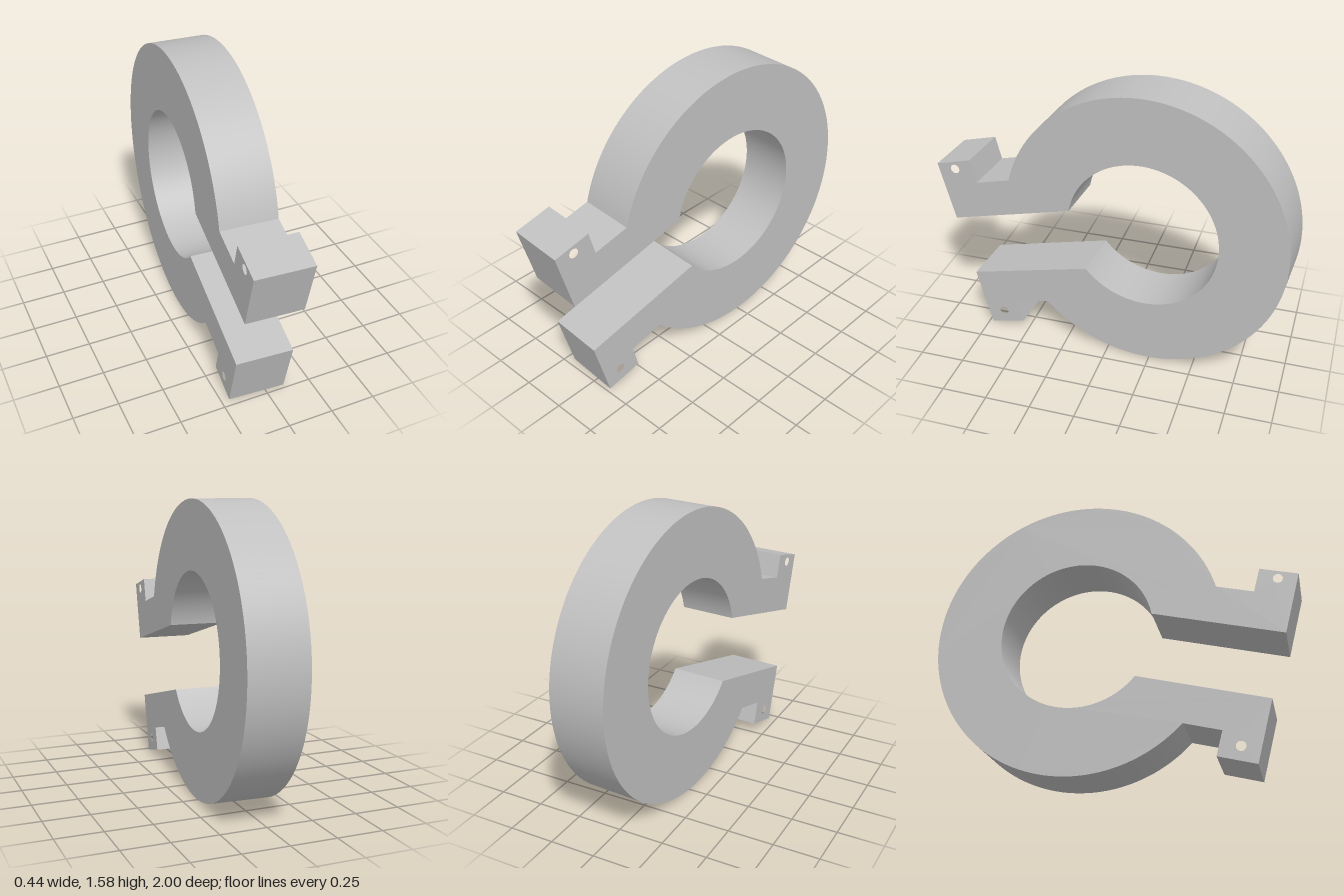
import * as THREE from 'three';
import { toCreasedNormals } from 'three/addons/utils/BufferGeometryUtils.js';

export function createModel() {
  const steel = new THREE.MeshStandardMaterial({ color: 0xc0c0c0 });
  steel.name = 'grey';

  const outerR = 0.788, innerR = 0.421, thickness = 0.313;
  const gap = 0.181;    // half the slot between the arms
  const notch = 0.388;  // height of the arm between ring and lug
  const lug = 0.524;    // outer height of the lugs
  const armEnd = 1.098, lugStart = 0.89;
  const outerAngle = Math.PI - Math.asin(notch / outerR);
  const innerAngle = Math.PI - Math.asin(gap / innerR);

  // Open ring with two parallel arms that end in lugs
  const outline = new THREE.Shape();
  outline.moveTo(-armEnd, gap);
  outline.lineTo(-armEnd, lug);
  outline.lineTo(-lugStart, lug);
  outline.lineTo(-lugStart, notch);
  outline.absarc(0, 0, outerR, outerAngle, -outerAngle, true);
  outline.lineTo(-lugStart, -notch);
  outline.lineTo(-lugStart, -lug);
  outline.lineTo(-armEnd, -lug);
  outline.lineTo(-armEnd, -gap);
  outline.absarc(0, 0, innerR, -innerAngle, innerAngle, false);
  outline.closePath();

  // Small pin hole through each lug
  for (const y of [0.481, -0.45]) {
    const hole = new THREE.Path();
    hole.absarc(-0.997, y, 0.026, 0, Math.PI * 2, true);
    outline.holes.push(hole);
  }

  let geometry = new THREE.ExtrudeGeometry(outline, {
    depth: thickness, bevelEnabled: false, curveSegments: 72,
  });
  geometry.translate(0, 0, -thickness / 2);
  geometry = toCreasedNormals(geometry, 0.5);

  // Tilt the slot downwards, then turn the ring edge-on with a slight yaw
  geometry.rotateZ(THREE.MathUtils.degToRad(15));
  geometry.rotateY(THREE.MathUtils.degToRad(90 - 3.75));

  const clamp = new THREE.Mesh(geometry, steel);
  clamp.name = 'clampRing';
  clamp.position.set(0.011, 0.788, -0.205);

  const group = new THREE.Group();
  group.name = 'splitRingClamp';
  group.add(clamp);
  return group;
}
